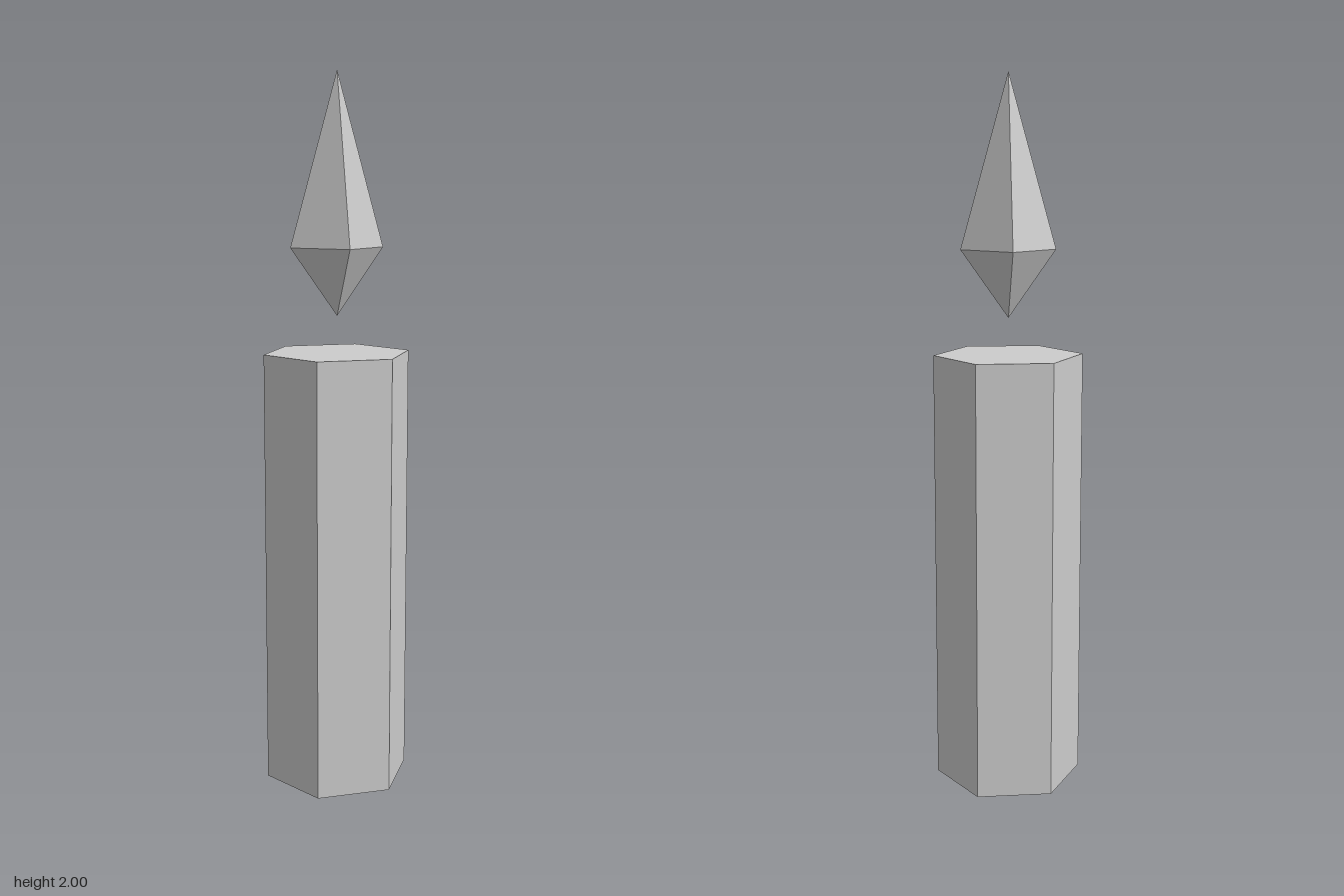
import * as THREE from 'three';

export function createModel() {
  const group = new THREE.Group();
  const wax = new THREE.MeshStandardMaterial({ color: 0xcccccc, flatShading: true });
  wax.name = 'pale grey';

  // Adds a faceted prism or cone spanning y0 to y1
  function addPart(name, rTop, rBottom, y0, y1, sides, open, start = 0) {
    const geometry = new THREE.CylinderGeometry(rTop, rBottom, y1 - y0, sides, 1, open, start);
    const mesh = new THREE.Mesh(geometry, wax);
    mesh.name = name;
    mesh.position.y = (y0 + y1) / 2;
    return mesh;
  }

  // Hexagonal candle body with corners on the x axis
  group.add(addPart('candleBody', 0.209, 0.209, 0, 1.238, 6, false, Math.PI / 2));

  // Floating four-sided flame: tall point above, short point below
  const flame = new THREE.Group();
  flame.name = 'flame';
  flame.add(addPart('flameTip', 0, 0.132, 1.528, 2, 4, true));
  flame.add(addPart('flameBase', 0.132, 0, 1.34, 1.528, 4, true));
  group.add(flame);

  return group;
}
